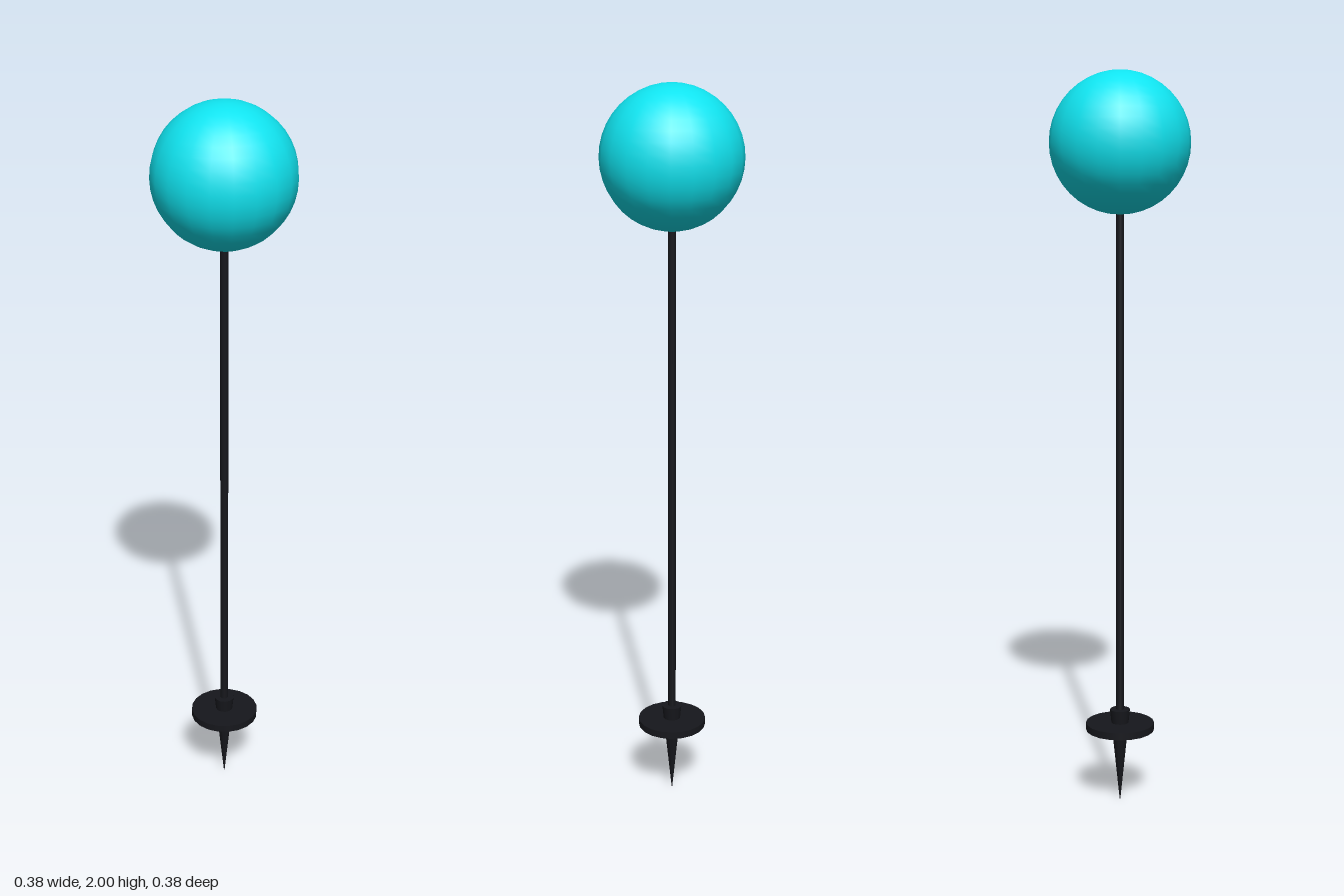
import * as THREE from 'three';

export function createModel() {
  const group = new THREE.Group();
  const paint = (color) => new THREE.MeshStandardMaterial({ color });
  const cyan = paint(0x10e4f0);
  const black = paint(0x16171c);

  function add(name, geometry, material, y) {
    const mesh = new THREE.Mesh(geometry, material);
    mesh.name = name;
    mesh.position.y = y;
    group.add(mesh);
  }

  // A cylinder or cone spanning two heights
  function post(name, rTop, rBottom, y0, y1, sides) {
    add(name, new THREE.CylinderGeometry(rTop, rBottom, y1 - y0, sides), black, (y0 + y1) / 2);
  }

  // Globe on top of the pole
  add('globe', new THREE.SphereGeometry(0.1875, 20, 20), cyan, 1.8125);

  // Slender pole, reaching slightly into the globe
  post('pole', 0.011, 0.011, 0.22, 1.64, 12);

  // Flat collar that rests on the soil
  post('groundCollar', 0.095, 0.095, 0.204, 0.224, 20);

  // Pointed ground spike
  post('groundSpike', 0.028, 0.001, 0, 0.262, 12);

  return group;
}
